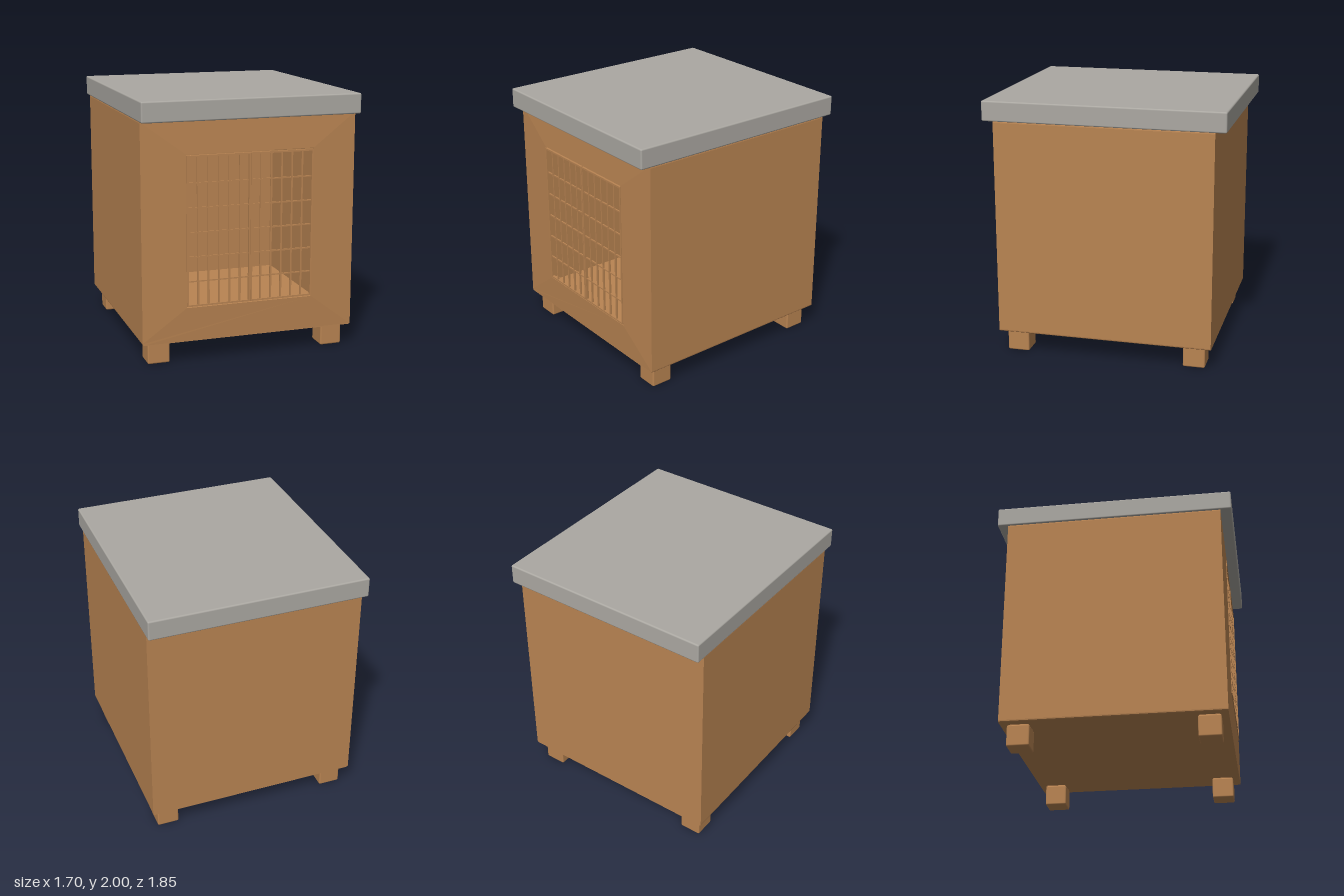
import * as THREE from 'three';
import { RoundedBoxGeometry } from 'three/addons/geometries/RoundedBoxGeometry.js';

const wood = new THREE.MeshStandardMaterial({ color: 0xb98452 });
wood.name = 'wood';
const roofGrey = new THREE.MeshStandardMaterial({ color: 0xaba8a2 });
roofGrey.name = 'roof grey';

const SIDE = 0.84, BOTTOM = 0.17, TOP = 1.85, WALL = 0.04;
const HOLE = { x: 0.5, y0: 0.435, y1: 1.595 };

function roundedRect(x0, y0, x1, y1, r) {
  const s = new THREE.Shape();
  s.moveTo(x0 + r, y0);
  s.lineTo(x1 - r, y0);
  s.quadraticCurveTo(x1, y0, x1, y0 + r);
  s.lineTo(x1, y1 - r);
  s.quadraticCurveTo(x1, y1, x1 - r, y1);
  s.lineTo(x0 + r, y1);
  s.quadraticCurveTo(x0, y1, x0, y1 - r);
  s.lineTo(x0, y0 + r);
  s.quadraticCurveTo(x0, y0, x0 + r, y0);
  return s;
}

function rectHole(x0, y0, x1, y1) {
  const p = new THREE.Path();
  p.moveTo(x0, y0);
  p.lineTo(x0, y1);
  p.lineTo(x1, y1);
  p.lineTo(x1, y0);
  p.closePath();
  return p;
}

// Slab of the body outline, from z0 to z1, with an optional opening
function bodySlab(z0, z1, hole) {
  const shape = roundedRect(-SIDE, BOTTOM, SIDE, TOP, 0.015);
  if (hole) shape.holes.push(hole);
  const geo = new THREE.ExtrudeGeometry(shape, { depth: z1 - z0, bevelEnabled: false, curveSegments: 3 });
  return geo.translate(0, 0, z0);
}

function add(parent, name, geo, material, x = 0, y = 0, z = 0) {
  const mesh = new THREE.Mesh(geo, material);
  mesh.name = name;
  mesh.position.set(x, y, z);
  parent.add(mesh);
  return mesh;
}

export function createModel() {
  const model = new THREE.Group();
  model.name = 'crate';

  // Hollow body: sides, floor and ceiling as one sleeve, closed by a back wall
  const inner = SIDE - WALL;
  add(model, 'sleeve', bodySlab(-inner, inner, rectHole(-inner, BOTTOM + 0.05, inner, TOP - WALL)), wood);
  add(model, 'backWall', bodySlab(-SIDE, -inner), wood);

  // Front wall, swelling slightly towards the rim of the doorway
  const front = bodySlab(inner, SIDE, rectHole(-HOLE.x, HOLE.y0, HOLE.x, HOLE.y1));
  const pos = front.attributes.position;
  for (let i = 0; i < pos.count; i++) {
    const onRim = Math.abs(pos.getX(i)) < 0.6 && pos.getY(i) > 0.3 && pos.getY(i) < 1.7;
    if (onRim && pos.getZ(i) > SIDE - 0.01) pos.setZ(i, SIDE + 0.013);
  }
  front.computeVertexNormals();
  add(model, 'frontWall', front, wood);

  // Pair of barred doors meeting in the middle
  const y0 = 0.45, y1 = 1.58, midY = (y0 + y1) / 2, pitch = 0.082, z = 0.847;
  for (const side of [-1, 1]) {
    const door = new THREE.Group();
    door.name = side > 0 ? 'leftDoor' : 'rightDoor';
    for (let i = 1; i < 6; i++) {
      add(door, 'verticalBar', new THREE.BoxGeometry(0.013, y1 - y0, 0.013), wood, side * i * pitch, midY, z);
    }
    for (let i = 1; i < 6; i++) {
      add(door, 'crossBar', new THREE.BoxGeometry(0.49, 0.01, 0.01), wood, side * 0.245, y0 + i * 0.186, z);
    }
    for (const x of [0.0075, 0.4925]) {
      add(door, 'doorStile', new THREE.BoxGeometry(0.013, y1 - y0 + 0.012, 0.022), wood, side * x, midY, z);
    }
    for (const y of [y0, y1]) {
      add(door, 'doorRail', new THREE.BoxGeometry(0.49, 0.013, 0.022), wood, side * 0.247, y, z);
    }
    model.add(door);
  }

  // Overhanging roof
  add(model, 'roof', new RoundedBoxGeometry(1.7, 0.155, 1.85, 2, 0.012), roofGrey, 0, 1.9225, 0);

  // Four block feet, each with a narrow neck under the body
  const footGeo = new RoundedBoxGeometry(0.172, 0.165, 0.172, 2, 0.012);
  const neckGeo = new THREE.BoxGeometry(0.15, 0.03, 0.15);
  for (const x of [-0.702, 0.702]) {
    for (const fz of [-0.702, 0.702]) {
      const foot = new THREE.Group();
      foot.name = 'foot';
      add(foot, 'footBlock', footGeo, wood, x, 0.0825, fz);
      add(foot, 'footNeck', neckGeo, wood, x, 0.165, fz);
      model.add(foot);
    }
  }

  return model;
}
